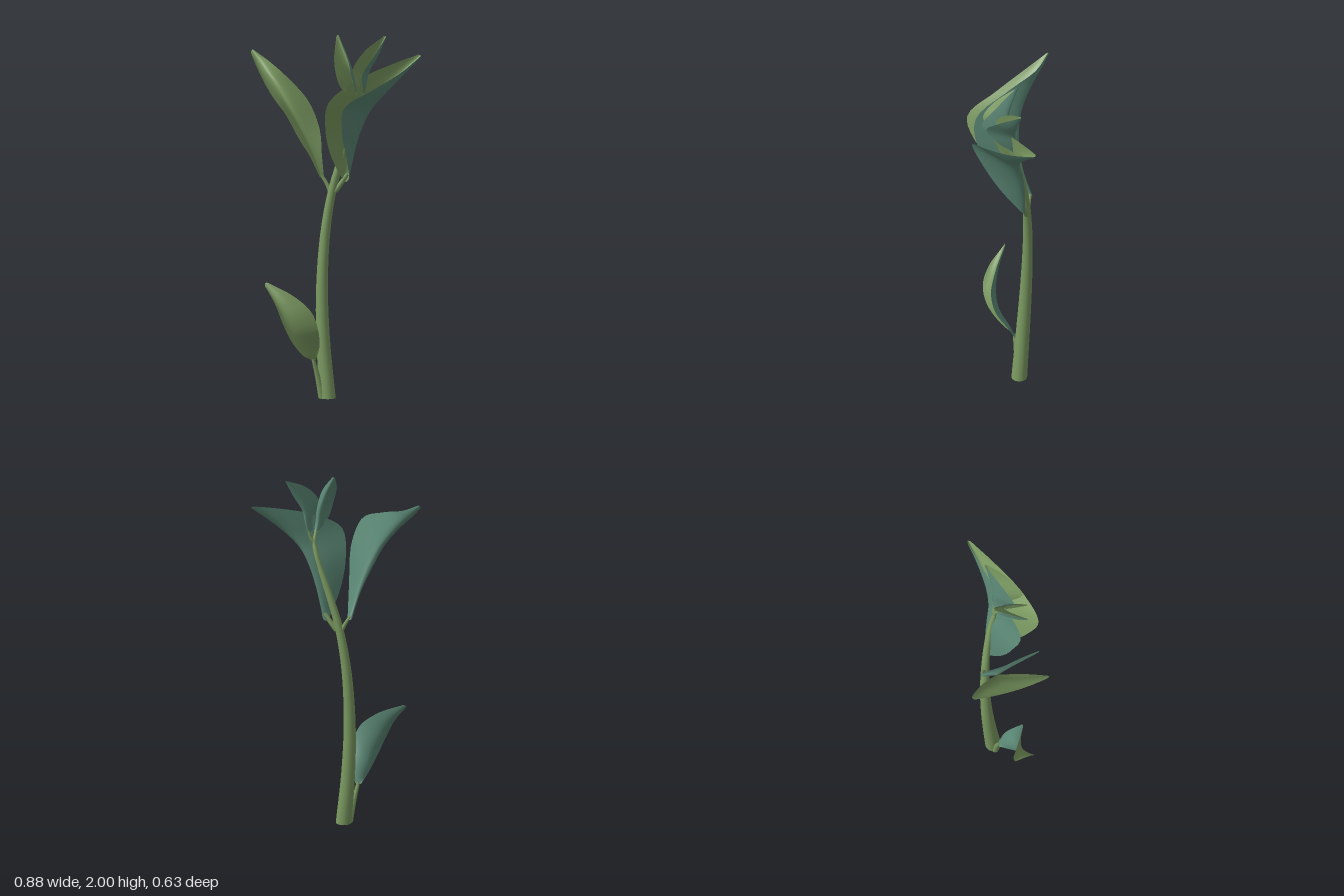
import * as THREE from 'three';

const green = new THREE.MeshStandardMaterial({ color: 0x7b9a61 });
green.name = 'olive green';
const teal = new THREE.MeshStandardMaterial({ color: 0x5a8674 });
teal.name = 'blue green';

const curveOf = (points) => new THREE.CatmullRomCurve3(points.map((p) => new THREE.Vector3(...p)));

// Round stalk along a path, narrowing from r0 to r1, cut level below and closed at the tip
function stalk(name, points, r0, r1, sides = 16) {
  const curve = curveOf(points), segments = 28;
  const geo = new THREE.TubeGeometry(curve, segments, 1, sides);
  const pos = geo.attributes.position, v = new THREE.Vector3();
  for (let i = 0; i <= segments; i++) {
    const centre = curve.getPointAt(i / segments);
    const r = i === segments ? 0.0005 : THREE.MathUtils.lerp(r0, r1, i / segments);
    for (let j = 0; j <= sides; j++) {
      const k = i * (sides + 1) + j;
      v.fromBufferAttribute(pos, k).sub(centre).multiplyScalar(r).add(centre);
      pos.setXYZ(k, v.x, i === 0 ? points[0][1] : v.y, v.z);
    }
  }
  const mesh = new THREE.Mesh(geo, green);
  mesh.name = name;
  return mesh;
}

// Curled thin leaf: each row is [left edge, midrib, right edge], from base to tip
function leaf(name, rows) {
  const [left, rib, right] = [0, 1, 2].map((c) => curveOf(rows.map((r) => r[c])));
  const nu = 28, nv = 12, halfThickness = 0.003, points = [], inner = [], outer = [];
  for (let i = 0; i <= nu; i++) {
    const a = left.getPoint(i / nu), m = rib.getPoint(i / nu), b = right.getPoint(i / nu);
    for (let j = 0; j <= nv; j++) {
      // parabola through edge, midrib and edge
      const t = j / nv;
      points.push(new THREE.Vector3()
        .addScaledVector(a, (1 - t) * (1 - 2 * t))
        .addScaledVector(m, 4 * t * (1 - t))
        .addScaledVector(b, t * (2 * t - 1)));
      if (i < nu && j < nv) {
        const k = i * (nv + 1) + j, n = k + nv + 1;
        inner.push(k, n, k + 1, n, n + 1, k + 1);
        outer.push(k, k + 1, n, n, k + 1, n + 1);
      }
    }
  }
  const group = new THREE.Group();
  group.name = name;
  for (const [side, index, material] of [['InnerFace', inner, green], ['OuterFace', outer, teal]]) {
    const geo = new THREE.BufferGeometry().setFromPoints(points);
    geo.setIndex(index);
    geo.computeVertexNormals();
    // swell each face outward, meeting at the leaf edges
    const pos = geo.attributes.position, normal = new THREE.Vector3();
    points.forEach((p, k) => {
      const t = (k % (nv + 1)) / nv;
      normal.fromBufferAttribute(geo.attributes.normal, k);
      normal.multiplyScalar(halfThickness * Math.sqrt(4 * t * (1 - t))).add(p);
      pos.setXYZ(k, normal.x, normal.y, normal.z);
    });
    const mesh = new THREE.Mesh(geo, material);
    mesh.name = name + side;
    group.add(mesh);
  }
  return group;
}

export function createModel() {
  const model = new THREE.Group();
  model.name = 'plant';

  // Main stem
  model.add(stalk('stem', [
    [0, 0, -0.038], [-0.03, 0.3, -0.047], [-0.043, 0.6, -0.06], [-0.03, 0.9, -0.075],
    [0.01, 1.15, -0.086], [0.07, 1.35, -0.092], [0.135, 1.53, -0.088], [0.165, 1.65, -0.068],
  ], 0.043, 0.013, 20));

  // Leaf stalks
  model.add(stalk('lowLeafStalk', [[-0.025, 0, -0.018], [-0.045, 0.12, -0.002], [-0.065, 0.225, 0.018]], 0.02, 0.009, 10));
  model.add(stalk('rightLeafStalk', [[0.005, 1.1, -0.085], [-0.02, 1.16, -0.085], [-0.055, 1.22, -0.08]], 0.013, 0.008, 10));
  model.add(stalk('leftLeafStalk', [[0.02, 1.13, -0.088], [0.05, 1.17, -0.095], [0.09, 1.23, -0.1]], 0.016, 0.011, 10));
  model.add(stalk('frontTopLeafStalk', [[0.157, 1.62, -0.078], [0.155, 1.65, -0.07], [0.153, 1.69, -0.055]], 0.012, 0.006, 8));
  model.add(stalk('backTopLeafStalk', [[0.16, 1.62, -0.078], [0.175, 1.65, -0.085], [0.185, 1.69, -0.091]], 0.012, 0.006, 8));

  // Cut ends on the ground
  for (const [name, x, z, r] of [['stemEnd', 0, -0.038, 0.043], ['lowLeafStalkEnd', -0.025, -0.018, 0.02]]) {
    const cut = new THREE.Mesh(new THREE.CircleGeometry(r, 20), green);
    cut.name = name;
    cut.rotation.x = Math.PI / 2;
    cut.position.set(x, 0, z);
    model.add(cut);
  }

  // Large leaf on the model's right
  model.add(leaf('rightLeaf', [
    [[-0.035, 1.21, -0.07], [-0.055, 1.2, -0.088], [-0.065, 1.21, -0.075]],
    [[0.01, 1.34, 0.07], [-0.085, 1.35, -0.02], [-0.05, 1.35, 0.1]],
    [[0.042, 1.53, 0.19], [-0.13, 1.48, 0.02], [-0.06, 1.48, 0.25]],
    [[-0.005, 1.67, 0.22], [-0.19, 1.6, 0.04], [-0.1, 1.6, 0.31]],
    [[-0.18, 1.775, 0.1], [-0.28, 1.72, 0.03], [-0.24, 1.7, 0.2]],
    [[-0.33, 1.84, 0.0], [-0.38, 1.82, 0.0], [-0.37, 1.81, 0.07]],
    [[-0.43, 1.892, -0.025], [-0.44, 1.89, -0.025], [-0.44, 1.88, -0.01]],
  ]));

  // Large leaf on the model's left
  model.add(leaf('leftLeaf', [
    [[0.105, 1.21, -0.09], [0.085, 1.185, -0.103], [0.065, 1.19, -0.095]],
    [[0.13, 1.33, 0.01], [0.115, 1.35, -0.115], [0.03, 1.35, 0.0]],
    [[0.145, 1.48, 0.11], [0.165, 1.5, -0.12], [0.025, 1.5, 0.06]],
    [[0.18, 1.64, 0.165], [0.22, 1.6, -0.127], [0.06, 1.65, 0.1]],
    [[0.285, 1.72, 0.04], [0.29, 1.69, -0.165], [0.18, 1.765, -0.04]],
    [[0.375, 1.79, -0.14], [0.37, 1.79, -0.24], [0.325, 1.838, -0.205]],
    [[0.435, 1.865, -0.3], [0.432, 1.868, -0.315], [0.42, 1.874, -0.312]],
  ]));

  // Small leaf near the ground
  model.add(leaf('lowLeaf', [
    [[-0.05, 0.215, 0.01], [-0.065, 0.21, 0.015], [-0.08, 0.215, 0.02]],
    [[-0.02, 0.29, 0.035], [-0.07, 0.275, 0.055], [-0.09, 0.25, 0.1]],
    [[0.0, 0.39, 0.1], [-0.085, 0.36, 0.123], [-0.115, 0.34, 0.2]],
    [[-0.022, 0.495, 0.138], [-0.13, 0.45, 0.16], [-0.15, 0.44, 0.24]],
    [[-0.12, 0.58, 0.152], [-0.19, 0.54, 0.172], [-0.2, 0.54, 0.225]],
    [[-0.27, 0.648, 0.16], [-0.285, 0.645, 0.165], [-0.28, 0.63, 0.175]],
  ]));

  // Two young leaves at the top
  model.add(leaf('frontTopLeaf', [
    [[0.165, 1.67, -0.06], [0.155, 1.66, -0.067], [0.145, 1.67, -0.06]],
    [[0.19, 1.74, 0.05], [0.15, 1.73, -0.04], [0.125, 1.72, 0.06]],
    [[0.195, 1.8, 0.1], [0.14, 1.8, -0.03], [0.12, 1.79, 0.125]],
    [[0.155, 1.88, 0.05], [0.115, 1.87, -0.025], [0.085, 1.88, 0.08]],
    [[0.06, 2.0, -0.045], [0.05, 2.0, -0.05], [0.048, 1.99, -0.04]],
  ]));
  model.add(leaf('backTopLeaf', [
    [[0.195, 1.67, -0.08], [0.18, 1.66, -0.09], [0.17, 1.67, -0.08]],
    [[0.22, 1.73, 0.0], [0.195, 1.73, -0.1], [0.175, 1.74, 0.0]],
    [[0.24, 1.81, 0.055], [0.21, 1.8, -0.1], [0.17, 1.82, 0.03]],
    [[0.275, 1.9, -0.03], [0.25, 1.89, -0.13], [0.21, 1.92, -0.05]],
    [[0.29, 1.985, -0.16], [0.285, 1.99, -0.17], [0.275, 1.988, -0.165]],
  ]));

  return model;
}
